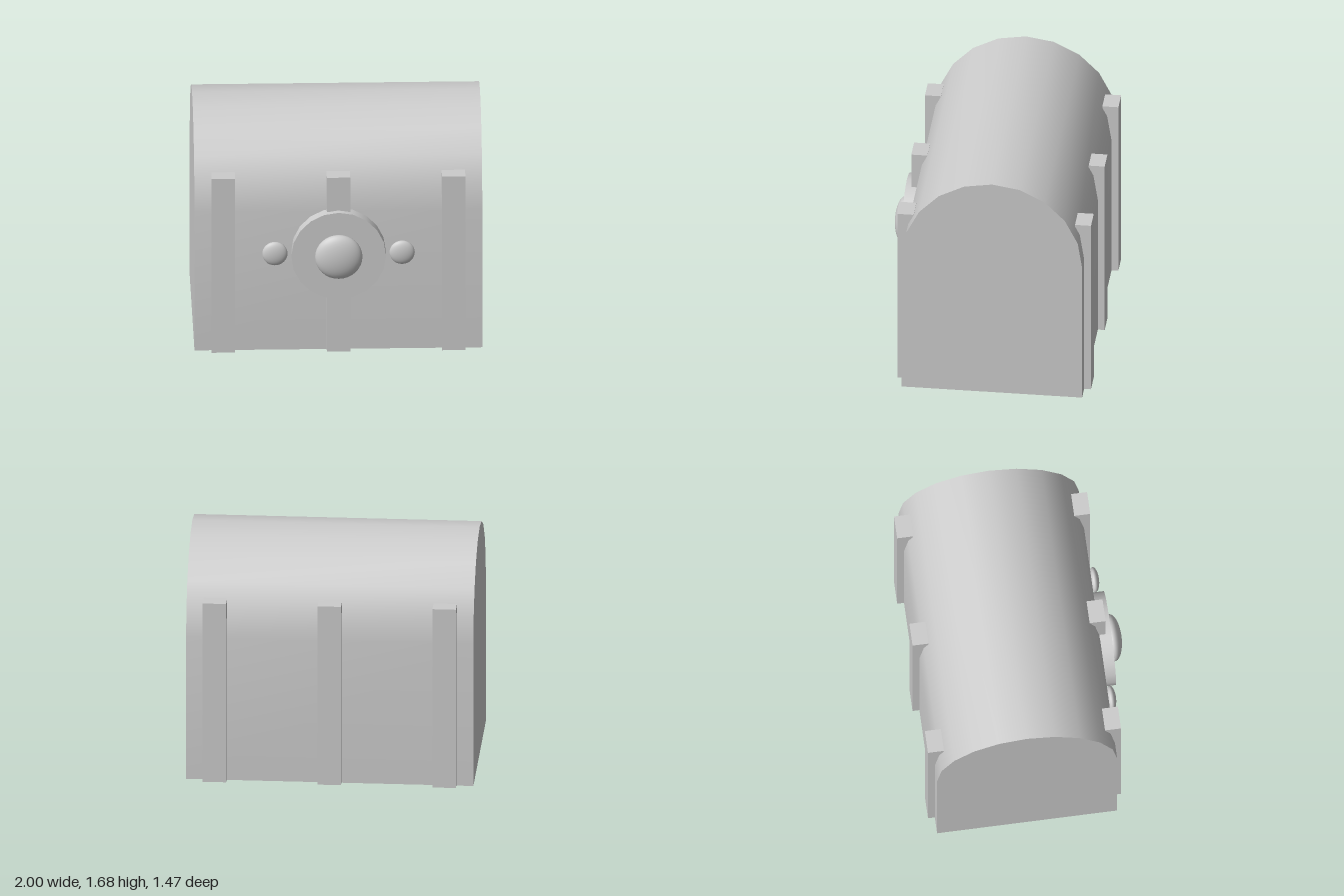
import * as THREE from 'three';
import { toCreasedNormals } from 'three/addons/utils/BufferGeometryUtils.js';

export function createModel() {
  const chest = new THREE.Group();
  chest.name = 'chest';
  const grey = new THREE.MeshStandardMaterial({ color: 0xcccccc });
  grey.name = 'grey';

  const add = (name, geometry, x, y, z) => {
    const mesh = new THREE.Mesh(geometry, grey);
    mesh.name = name;
    mesh.position.set(x, y, z);
    chest.add(mesh);
    return mesh;
  };

  // Body with a ten-sided barrel lid, extruded along x
  const radius = 0.631, lidBase = 1.054, centreZ = -0.059, segments = 10;
  const profile = new THREE.Shape();
  profile.moveTo(-radius, 0);
  profile.lineTo(radius, 0);
  for (let i = 0; i <= segments; i++) {
    const a = (i / segments) * Math.PI;
    profile.lineTo(radius * Math.cos(a), lidBase + radius * Math.sin(a));
  }
  profile.closePath();
  const body = new THREE.ExtrudeGeometry(profile, { depth: 2, bevelEnabled: false });
  body.rotateY(-Math.PI / 2).translate(1, 0, 0);
  add('body', toCreasedNormals(body, 0.6), 0, 0, centreZ);

  // Upright straps on the front and back
  const strapHeight = 1.327;
  for (const x of [-0.8, 0, 0.8]) {
    for (const [name, z] of [['frontStrap', 0.559], ['backStrap', -0.682]]) {
      add(name, new THREE.BoxGeometry(0.163, strapHeight, 0.112), x, strapHeight / 2, z);
    }
  }

  // Round lock plate
  const plate = new THREE.CylinderGeometry(0.329, 0.329, 0.11, 20);
  plate.rotateX(Math.PI / 2);
  add('lockPlate', plate, 0, 0.748, 0.6);

  // Flattened knobs: one on the lock plate, one on each side
  const addKnob = (name, x, r, z) => {
    const knob = new THREE.SphereGeometry(r, 32, 20);
    knob.rotateX(Math.PI / 2).scale(1, 1, 0.4);
    add(name, knob, x, 0.748, z);
  };
  addKnob('lockKnob', 0, 0.165, 0.671);
  addKnob('leftKnob', 0.442, 0.088, 0.604);
  addKnob('rightKnob', -0.442, 0.088, 0.604);

  return chest;
}
